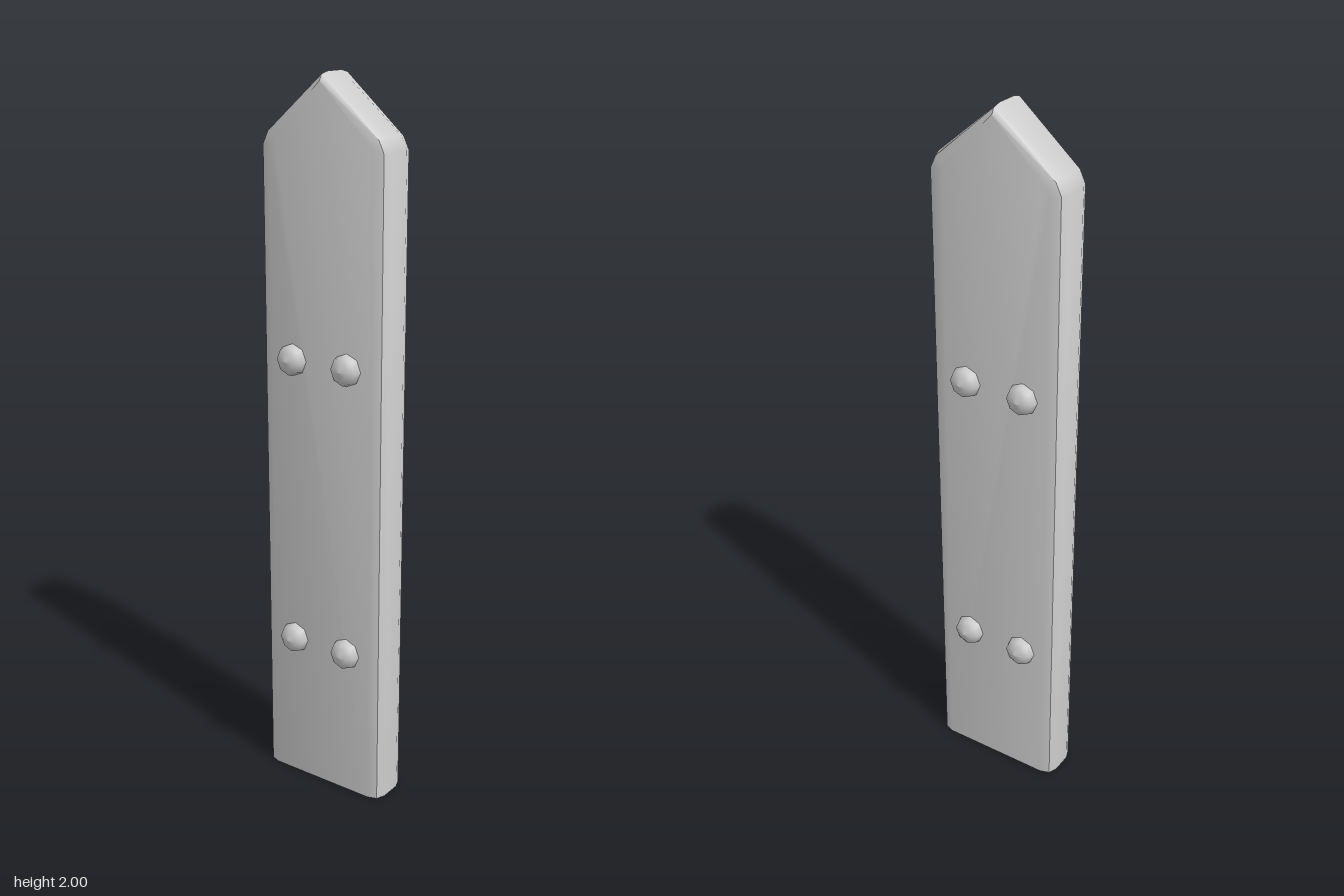
import * as THREE from 'three';
import { toCreasedNormals } from 'three/addons/utils/BufferGeometryUtils.js';

const material = new THREE.MeshStandardMaterial({ color: 0xcccccc });

// Pointed outline of the plank, counter-clockwise, shrunk at the sides and the point
function outline(inset) {
  const w = 0.198 - inset, drop = inset * 0.6;
  const half = [[w, 0], [w, 1.815 - drop * 0.3], [w - 0.016, 1.85 - drop * 0.6]];
  return [...half, [0, 2 - drop], ...half.map(([x, y]) => [-x, y]).reverse()];
}

// Plank: outlines stacked from back to front, with softened long edges and a flat foot
function plankGeometry() {
  const front = [[0.03, 0], [0.055, 0.01], [0.064, 0.036]]; // z, inset
  const layers = [...front.map(([z, d]) => [-z, d]).reverse(), ...front];
  const n = outline(0).length, positions = [], index = [];
  for (const [z, d] of layers) for (const [x, y] of outline(d)) positions.push(x, y, z);
  for (let i = 0; i < layers.length - 1; i++) {
    for (let j = 0; j < n; j++) {
      const a = i * n + j, b = i * n + (j + 1) % n;
      index.push(a, b, b + n, a, b + n, a + n);
    }
  }
  const last = (layers.length - 1) * n;
  for (let j = 1; j < n - 1; j++) {
    index.push(last, last + j, last + j + 1); // front face
    index.push(0, j + 1, j); // back face
  }
  const g = new THREE.BufferGeometry();
  g.setAttribute('position', new THREE.Float32BufferAttribute(positions, 3));
  g.setIndex(index);
  return toCreasedNormals(g, 0.6);
}

export function createModel() {
  const group = new THREE.Group();
  group.name = 'picketBoard';

  const plank = new THREE.Mesh(plankGeometry(), material);
  plank.name = 'plank';
  group.add(plank);

  // Domed nail head, pointing along +z
  const profile = [[0.044, 0.05], [0.044, 0.066], [0.039, 0.083], [0.022, 0.094], [0, 0.1]]
    .map(([r, h]) => new THREE.Vector2(r, h));
  const head = new THREE.LatheGeometry(profile, 8).rotateX(Math.PI / 2);

  // Two pairs of heads on each face
  for (const side of [1, -1]) {
    for (const y of [0.435, 1.255]) {
      for (const x of [-0.091, 0.085]) {
        const nail = new THREE.Mesh(head, material);
        nail.name = side > 0 ? 'frontNailHead' : 'backNailHead';
        nail.position.set(x, y, 0);
        if (side < 0) nail.rotation.y = Math.PI;
        group.add(nail);
      }
    }
  }
  return group;
}
